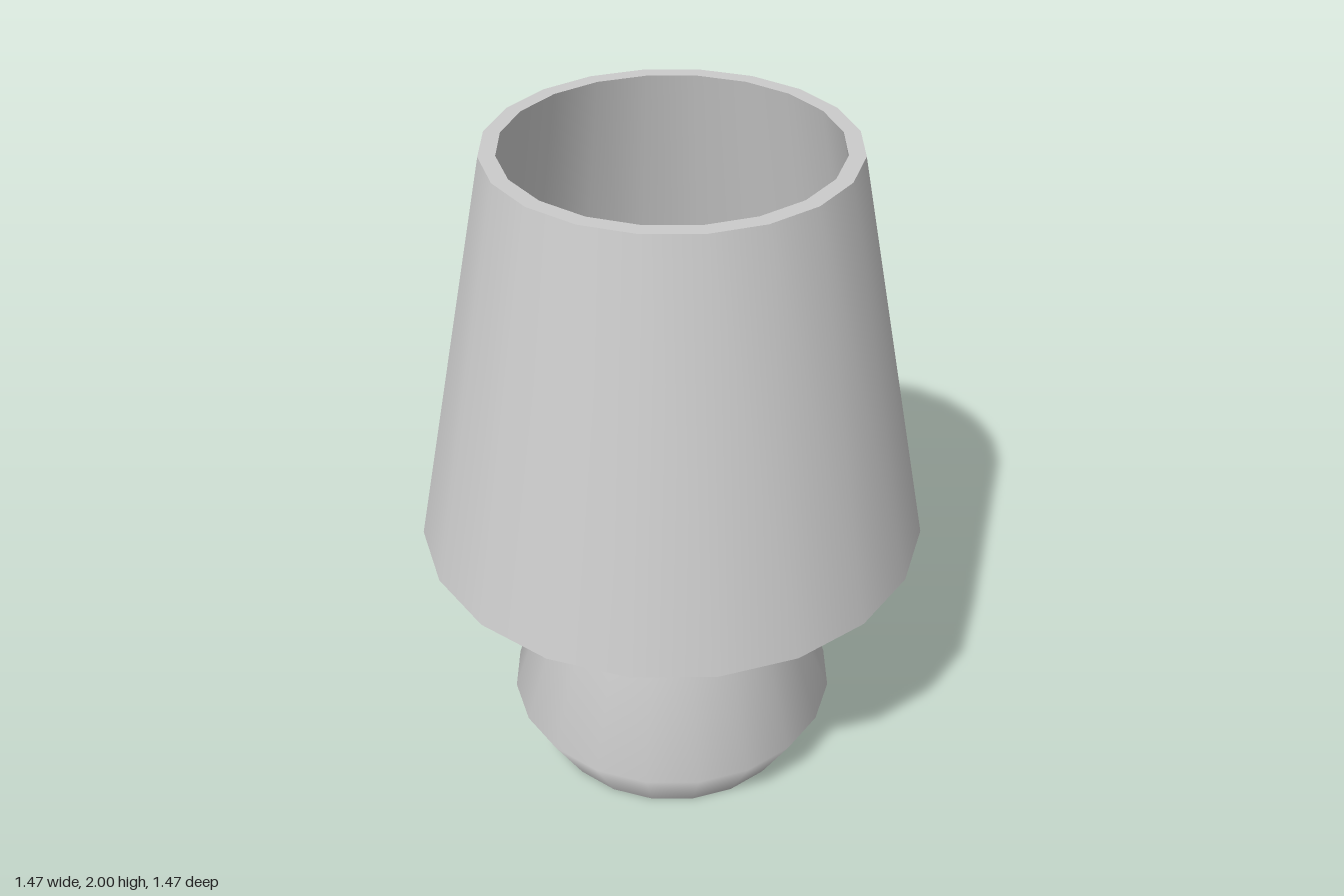
import * as THREE from 'three';
import { mergeGeometries } from 'three/addons/utils/BufferGeometryUtils.js';

// Revolves several [radius, y] strips; each is smooth in itself, with sharp edges between strips
function revolve(strips, sides) {
  return mergeGeometries(strips.map((strip) =>
    new THREE.LatheGeometry(strip.map(([r, y]) => new THREE.Vector2(r, y)), sides)));
}

export function createModel() {
  const group = new THREE.Group();
  const grey = new THREE.MeshStandardMaterial({ color: 0xcccccc });
  const yellow = new THREE.MeshStandardMaterial({ color: 0xe6e28c, flatShading: true });

  const add = (name, geometry, material) => {
    const mesh = new THREE.Mesh(geometry, material);
    mesh.name = name;
    group.add(mesh);
  };

  // Base: flat foot, flared body, straight neck with chamfered shoulder, flat top
  add('base', revolve([
    [[0, 0], [0.4, 0]],
    [[0.4, 0], [0.5, 0.18], [0.345, 0.67], [0.355, 0.7], [0.355, 0.85], [0.27, 0.95]],
    [[0.27, 0.95], [0, 0.95]],
  ], 20), grey);

  // Shade: hollow cone with outer wall, top rim, inner wall and bottom rim
  add('shade', revolve([
    [[0.735, 0.83], [0.495, 2]],
    [[0.495, 2], [0.45, 2]],
    [[0.45, 2], [0.68, 0.83]],
    [[0.68, 0.83], [0.735, 0.83]],
  ], 20), grey);

  // Bulb: tapered stem rising into a faceted dome
  const bulb = [[0.15, 0.95], [0.19, 1.07]];
  for (let i = 0; i <= 5; i++) {
    const a = (i / 5) * Math.PI / 2;
    bulb.push([i === 5 ? 0 : 0.22 * Math.cos(a), 1.2 + 0.22 * Math.sin(a)]);
  }
  add('bulb', revolve([bulb], 12), yellow);

  return group;
}
